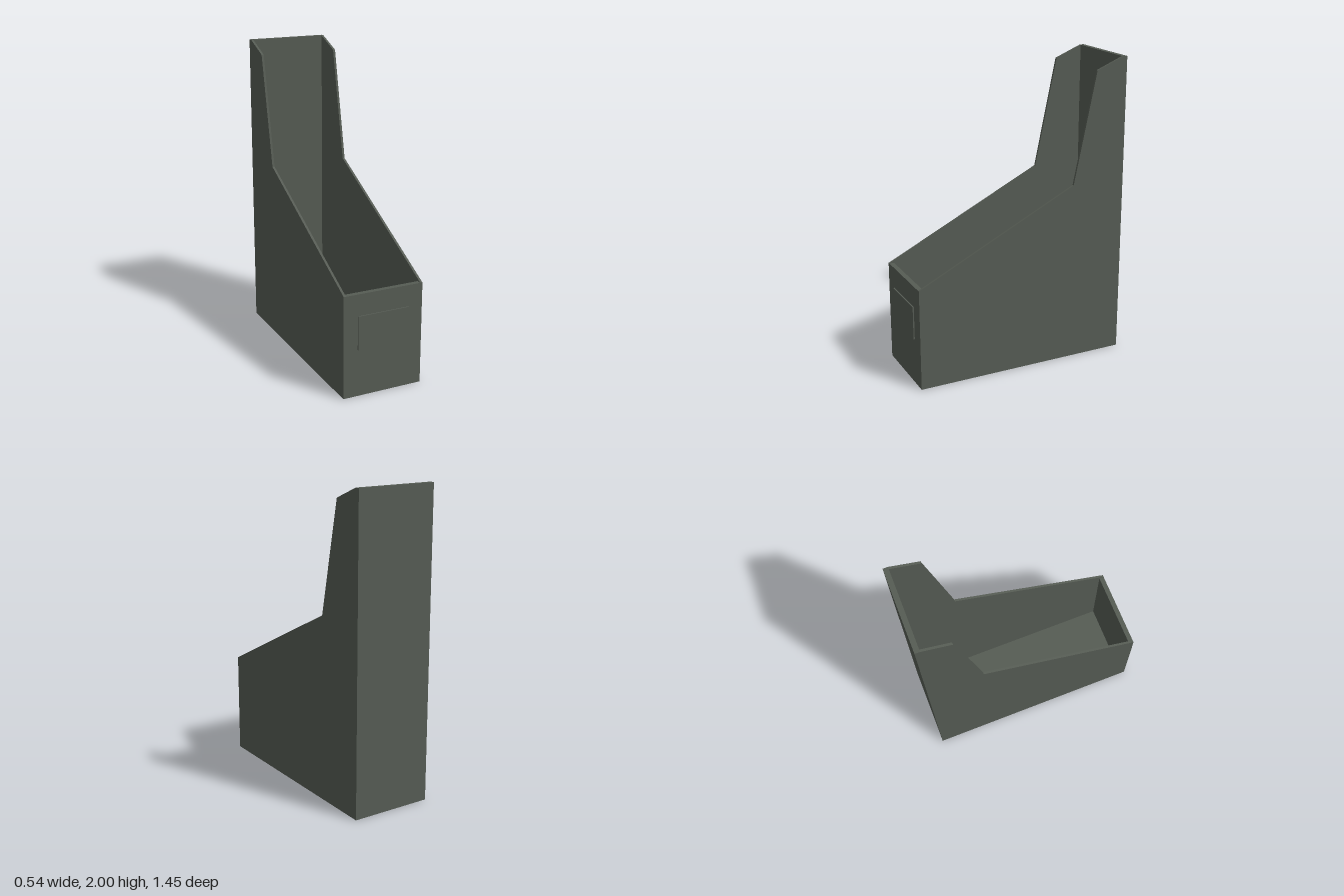
import * as THREE from 'three';

const W = 0.268, FRONT = 0.717, BACK = -0.725; // outer half width and depth limits
const SIDE = 0.015, END = 0.032; // wall thicknesses

export function createModel() {
  const group = new THREE.Group();
  const board = new THREE.MeshStandardMaterial({ name: 'grey green board', color: 0x565c54 });

  const add = (name, geometry, x, y, z) => {
    const mesh = new THREE.Mesh(geometry, board);
    mesh.name = name;
    mesh.position.set(x, y, z);
    group.add(mesh);
  };
  const box = (name, w, h, d, x, y, z) => add(name, new THREE.BoxGeometry(w, h, d), x, y, z);

  // Side walls: stepped profile as (z, y), extruded across x
  const profile = new THREE.Shape([
    [FRONT, 0], [FRONT, 0.67], [-0.357, 1.2], [-0.51, 1.925],
    [-0.695, 2], [BACK, 2], [BACK, 0],
  ].map(([z, y]) => new THREE.Vector2(-z, y)));
  const wall = new THREE.ExtrudeGeometry(profile, { depth: SIDE, bevelEnabled: false });
  wall.rotateY(Math.PI / 2);
  add('leftWall', wall, W - SIDE, 0, 0);
  add('rightWall', wall, -W, 0, 0);

  // Panels between the side walls
  const inner = 2 * (W - SIDE);
  box('backPanel', inner, 2, END, 0, 1, BACK + END / 2);
  box('frontPanel', inner, 0.67, END, 0, 0.335, FRONT - END / 2);
  box('floor', inner, 0.03, FRONT - BACK - 2 * END, 0, 0.015, (FRONT + BACK) / 2);

  // Raised label plate on the front
  box('labelPlate', 0.345, 0.22, 0.008, 0, 0.42, FRONT + 0.004);
  return group;
}
